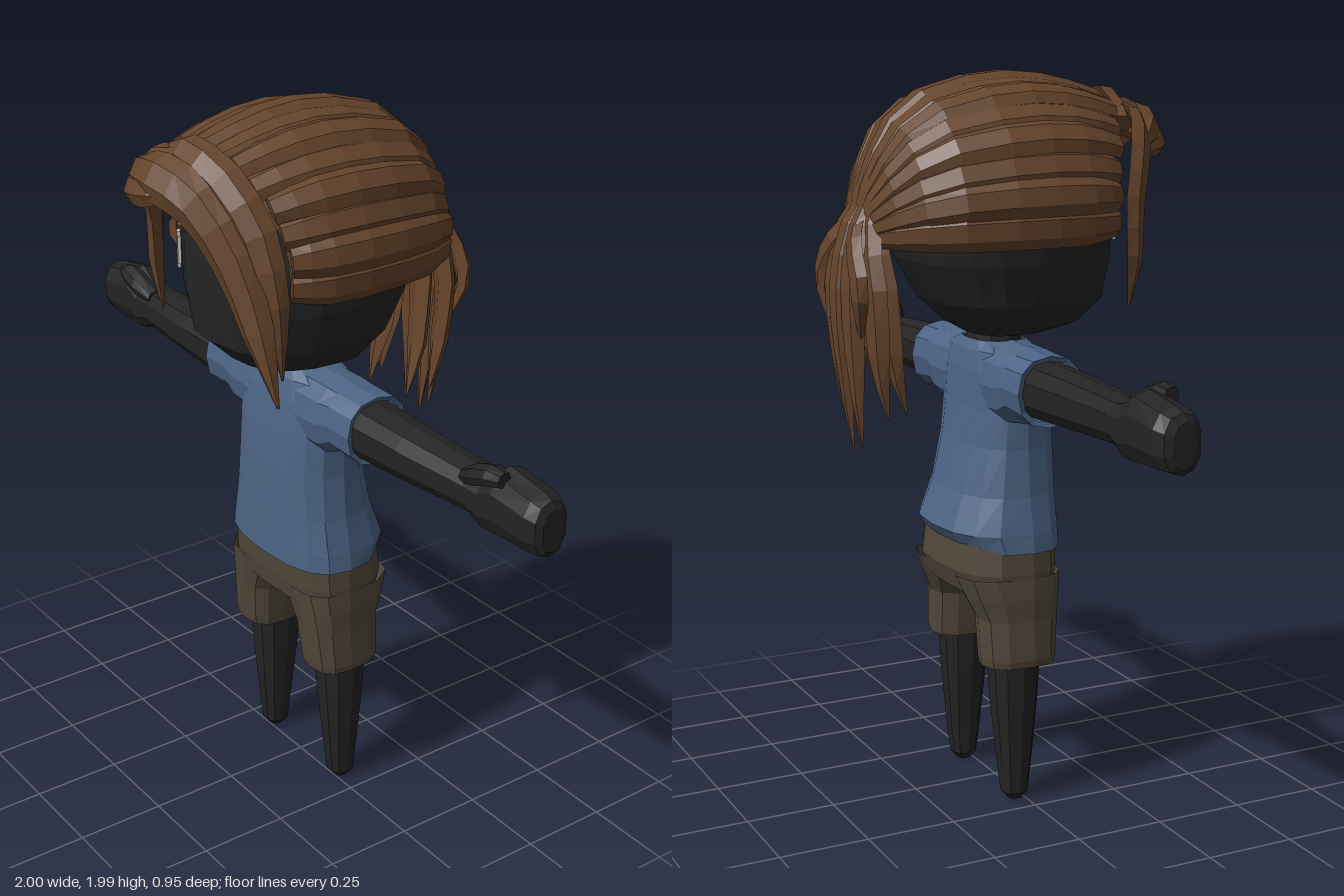
import * as THREE from 'three';

const mat = (name, color) => new THREE.MeshStandardMaterial({ name, color, flatShading: true, side: THREE.DoubleSide });
const V = (x, y, z) => new THREE.Vector3(x, y, z);

// Skin a list of rings (arrays of Vector3) into a surface
function skin(rings, { closed = true, caps = true, flip = false } = {}) {
  const n = rings[0].length, pos = [], idx = [];
  const tri = (a, b, c) => (flip ? idx.push(a, c, b) : idx.push(a, b, c));
  rings.forEach((r) => r.forEach((p) => pos.push(p.x, p.y, p.z)));
  for (let i = 0; i < rings.length - 1; i++) {
    for (let j = 0; j < (closed ? n : n - 1); j++) {
      const k = (j + 1) % n, a = i * n + j, b = i * n + k, c = a + n, d = b + n;
      tri(a, c, b);
      tri(b, c, d);
    }
  }
  if (caps) {
    const last = (rings.length - 1) * n;
    for (let j = 1; j < n - 1; j++) {
      tri(0, j, j + 1);
      tri(last, last + j + 1, last + j);
    }
  }
  const g = new THREE.BufferGeometry();
  g.setAttribute('position', new THREE.Float32BufferAttribute(pos, 3));
  g.setIndex(idx);
  g.computeVertexNormals();
  return g;
}

// Rounded-box-like angle function
const sup = (v, e) => Math.sign(v) * Math.abs(v) ** (2 / e);

// Upright loft, rings: [y, centre x, half width, front depth, back depth]
function loftY(rings, seg, e = 2.4, caps = true) {
  return skin(rings.map(([y, cx, rx, zf, zb]) => Array.from({ length: seg }, (_, j) => {
    const t = (j / seg) * Math.PI * 2, s = Math.sin(t);
    return V(cx + rx * sup(Math.cos(t), e), y, (s > 0 ? zf : zb) * sup(s, e));
  })), { caps });
}

// Sideways loft, rings: [x, y low, y high, z back, z front]
function loftX(rings, seg, e = 2.4, caps = true) {
  return skin(rings.map(([x, y0, y1, z0, z1]) => Array.from({ length: seg }, (_, j) => {
    const t = (j / seg) * Math.PI * 2;
    return V(x, (y0 + y1) / 2 + (y1 - y0) / 2 * sup(Math.cos(t), e), (z0 + z1) / 2 + (z1 - z0) / 2 * sup(Math.sin(t), e));
  })), { caps, flip: true });
}

// Mirror a geometry across x, keeping faces outward
function mirror(geo) {
  const g = geo.clone(), p = g.attributes.position, ix = g.index.array;
  for (let i = 0; i < p.count; i++) p.setX(i, -p.getX(i));
  for (let i = 0; i < ix.length; i += 3) [ix[i + 1], ix[i + 2]] = [ix[i + 2], ix[i + 1]];
  g.computeVertexNormals();
  return g;
}

// Hair lock along a curve, with half widths spread along its length
const HEAD = V(0, 1.62, 0);
function lock(points, widths, h, steps = 8) {
  const curve = new THREE.CatmullRomCurve3(points.map((p) => V(...p)));
  const section = [[1, 0], [0.45, 1], [-0.45, 1], [-1, 0], [0, -0.5]];
  const rings = [];
  for (let i = 0; i <= steps; i++) {
    const t = i / steps, P = curve.getPoint(t), T = curve.getTangent(t);
    const N = P.clone().sub(HEAD);
    N.addScaledVector(T, -N.dot(T)).normalize();
    const B = T.clone().cross(N);
    const f = t * (widths.length - 1), k = Math.min(Math.floor(f), widths.length - 2);
    const w = THREE.MathUtils.lerp(widths[k], widths[k + 1], f - k), hh = Math.min(h, w * 0.8);
    rings.push(section.map(([b, n]) => P.clone().addScaledVector(B, b * w).addScaledVector(N, n * hh)));
  }
  return skin(rings);
}

export function createModel() {
  const group = new THREE.Group();
  const skinMat = mat('charcoal skin', 0x242424), hairMat = mat('brown hair', 0x65442b);
  const shirtMat = mat('blue cloth', 0x4c6485), shortsMat = mat('olive brown cloth', 0x51473a);
  const eyeMat = mat('pale eyes', 0xd2cfca);
  const add = (name, geo, m) => {
    const mesh = new THREE.Mesh(geo, m);
    mesh.name = name;
    group.add(mesh);
    return mesh;
  };
  const pair = (name, geo, m) => {
    add('left' + name, geo, m);
    add('right' + name, mirror(geo), m);
  };

  // Head and neck
  add('head', loftY([
    [1.295, 0, 0.11, 0.13, 0.08], [1.325, 0, 0.19, 0.22, 0.13], [1.39, 0, 0.237, 0.29, 0.2],
    [1.5, 0, 0.265, 0.305, 0.265], [1.62, 0, 0.275, 0.305, 0.3], [1.75, 0, 0.265, 0.295, 0.29],
    [1.86, 0, 0.2, 0.23, 0.22], [1.91, 0, 0.1, 0.12, 0.12],
  ], 20, 2.5), skinMat);
  add('neck', loftY([[1.2, 0, 0.09, 0.07, 0.08], [1.34, 0, 0.08, 0.06, 0.07]], 10), skinMat);

  // Eyes and brows, thin plates on the face
  for (const s of [1, -1]) {
    const plate = (name, w, h, x, y, z, turn) => {
      const m = add(name, new THREE.BoxGeometry(w, h, 0.009), eyeMat);
      m.position.set(s * x, y, z);
      m.rotation.y = s * turn;
    };
    plate('eye', 0.036, 0.075, 0.158, 1.597, 0.278, 0.5);
    plate('eyeCore', 0.02, 0.1, 0.158, 1.597, 0.279, 0.5);
    plate('brow', 0.125, 0.026, 0.158, 1.695, 0.277, 0.5);
  }

  // Shirt body and sleeves
  add('shirt', loftY([
    [0.72, 0, 0.24, 0.133, 0.16], [0.77, 0, 0.233, 0.132, 0.195], [0.87, 0, 0.212, 0.13, 0.155],
    [1.0, 0, 0.2, 0.127, 0.125], [1.1, 0, 0.2, 0.12, 0.112], [1.2, 0, 0.2, 0.105, 0.105],
    [1.255, 0, 0.18, 0.09, 0.095], [1.28, 0, 0.1, 0.07, 0.08],
  ], 16, 2.6, false), shirtMat);
  pair('Sleeve', loftX([
    [0.1, 1.06, 1.283, -0.1, 0.1], [0.2, 1.07, 1.28, -0.105, 0.1], [0.24, 1.095, 1.276, -0.102, 0.095],
    [0.335, 1.085, 1.275, -0.1, 0.09], [0.33, 1.1, 1.262, -0.085, 0.075],
  ], 12, 2.4, false), shirtMat);

  // Arms, hands and thumbs
  pair('Arm', loftX([
    [0.25, 1.1, 1.26, -0.085, 0.08], [0.5, 1.11, 1.252, -0.075, 0.07], [0.74, 1.12, 1.24, -0.07, 0.05],
    [0.79, 1.095, 1.25, -0.075, 0.05], [0.84, 1.095, 1.28, -0.08, 0.05], [0.96, 1.1, 1.26, -0.08, 0.05],
    [0.99, 1.1, 1.25, -0.065, 0.038], [1.0, 1.115, 1.23, -0.045, 0.02],
  ], 10), skinMat);
  pair('Thumb', loftX([
    [0.72, 1.2, 1.24, -0.01, 0.045], [0.78, 1.215, 1.277, 0, 0.065],
    [0.83, 1.235, 1.292, 0, 0.065], [0.87, 1.245, 1.285, 0.01, 0.05],
  ], 8), skinMat);

  // Shorts: hips and two legs
  add('shortsHips', loftY([
    [0.6, 0, 0.235, 0.108, 0.16], [0.66, 0, 0.235, 0.118, 0.18], [0.75, 0, 0.226, 0.122, 0.17],
  ], 16, 2.8), shortsMat);
  pair('ShortsLeg', loftY([
    [0.42, 0.165, 0.066, 0.07, 0.11], [0.4, 0.165, 0.08, 0.083, 0.123], [0.42, 0.165, 0.083, 0.087, 0.125],
    [0.53, 0.155, 0.085, 0.098, 0.128], [0.59, 0.138, 0.103, 0.106, 0.155], [0.65, 0.12, 0.117, 0.115, 0.178],
  ], 12, 2.6, false), shortsMat);

  // Legs
  const leg = loftY([
    [0, 0.165, 0.022, 0.02, 0.02], [0.02, 0.165, 0.037, 0.037, 0.037], [0.1, 0.164, 0.043, 0.047, 0.047],
    [0.3, 0.16, 0.062, 0.066, 0.066], [0.46, 0.158, 0.07, 0.075, 0.075],
  ], 10);
  leg.translate(0, 0, -0.023);
  pair('Leg', leg, skinMat);

  // Swept-back hair: path from the hairline over the skull to the tie
  const sweep = (a, r = 1) => {
    const s = Math.sin(a), c = Math.cos(a);
    return [
      [0.27 * s * r, 1.62 + 0.29 * c * r, 0.3 - 0.08 * s * s],
      [0.305 * s * r, 1.62 + 0.333 * c * r, 0.14],
      [0.315 * s * r, 1.62 + 0.34 * c * r, -0.04],
      [0.26 * s * r, 1.61 + 0.285 * c * r, -0.26],
      [0.15 * s * r, 1.59 + 0.17 * c * r, -0.355],
      [0.04 * s, 1.57 + 0.05 * c, -0.4],
    ];
  };
  const SPAN = 1.62, COUNT = 15;
  const arcs = Array.from({ length: COUNT }, (_, k) => -SPAN + (2 * SPAN * k) / (COUNT - 1));
  add('hairCap', skin(arcs.map((a) => sweep(a, 0.98).map((p) => V(...p))), { closed: false, caps: false }), hairMat);
  arcs.forEach((a, k) => add('sweptLock', lock(sweep(a, k % 2 ? 1.03 : 0.995),
    [0.04, 0.052, 0.054, 0.05, 0.035, 0.02], 0.02, 9), hairMat));

  // Ponytail, locks: [spread x, mid z, tip x, tip y, tip z]
  [
    [0, -0.45, 0, 1.0, -0.42], [0.06, -0.44, 0.05, 1.04, -0.41], [-0.06, -0.44, -0.06, 1.02, -0.42],
    [0.11, -0.4, 0.11, 1.12, -0.36], [-0.11, -0.4, -0.12, 1.1, -0.37],
    [0.07, -0.35, 0.1, 1.12, -0.29], [-0.07, -0.35, -0.08, 1.1, -0.3],
  ].forEach(([x, z, tx, ty, tz]) => add('ponytailLock', lock([
    [x * 0.35, 1.7, -0.34], [x * 0.6, 1.6, (z - 0.38) / 2], [x, 1.44, z], [(x + tx) / 2, 1.27, (z * 2 + tz) / 3], [tx, ty, tz],
  ], [0.03, 0.05, 0.055, 0.042, 0.003], 0.025), hairMat));

  // Flared ends beside the tie
  for (const s of [1, -1]) {
    add('tieFlare', lock([[0, 1.63, -0.37], [s * 0.06, 1.57, -0.43], [s * 0.13, 1.46, -0.45], [s * 0.09, 1.3, -0.43]],
      [0.03, 0.045, 0.04, 0.004], 0.02), hairMat);
  }

  // Fringe locks falling around the face
  add('mainFringe', lock([
    [-0.22, 1.79, 0.31], [-0.12, 1.84, 0.4], [0.0, 1.86, 0.43], [0.12, 1.82, 0.4],
    [0.22, 1.69, 0.36], [0.29, 1.52, 0.335], [0.36, 1.34, 0.325],
  ], [0.02, 0.05, 0.065, 0.065, 0.06, 0.045, 0.004], 0.03, 12), hairMat);
  add('upperFringe', lock([
    [-0.14, 1.85, 0.31], [0.0, 1.91, 0.35], [0.15, 1.87, 0.34], [0.25, 1.75, 0.31], [0.295, 1.58, 0.29], [0.3, 1.38, 0.27],
  ], [0.03, 0.05, 0.055, 0.055, 0.04, 0.003], 0.025, 10), hairMat);
  add('sideFringe', lock([
    [0.02, 1.89, 0.33], [-0.12, 1.86, 0.36], [-0.23, 1.78, 0.31], [-0.29, 1.66, 0.26], [-0.305, 1.52, 0.25], [-0.29, 1.38, 0.25],
  ], [0.03, 0.05, 0.055, 0.05, 0.035, 0.004], 0.025, 10), hairMat);
  add('forelock', lock([
    [-0.2, 1.78, 0.33], [-0.13, 1.8, 0.42], [-0.03, 1.82, 0.445], [0.07, 1.83, 0.41],
  ], [0.02, 0.04, 0.045, 0.02], 0.025), hairMat);

  return group;
}
